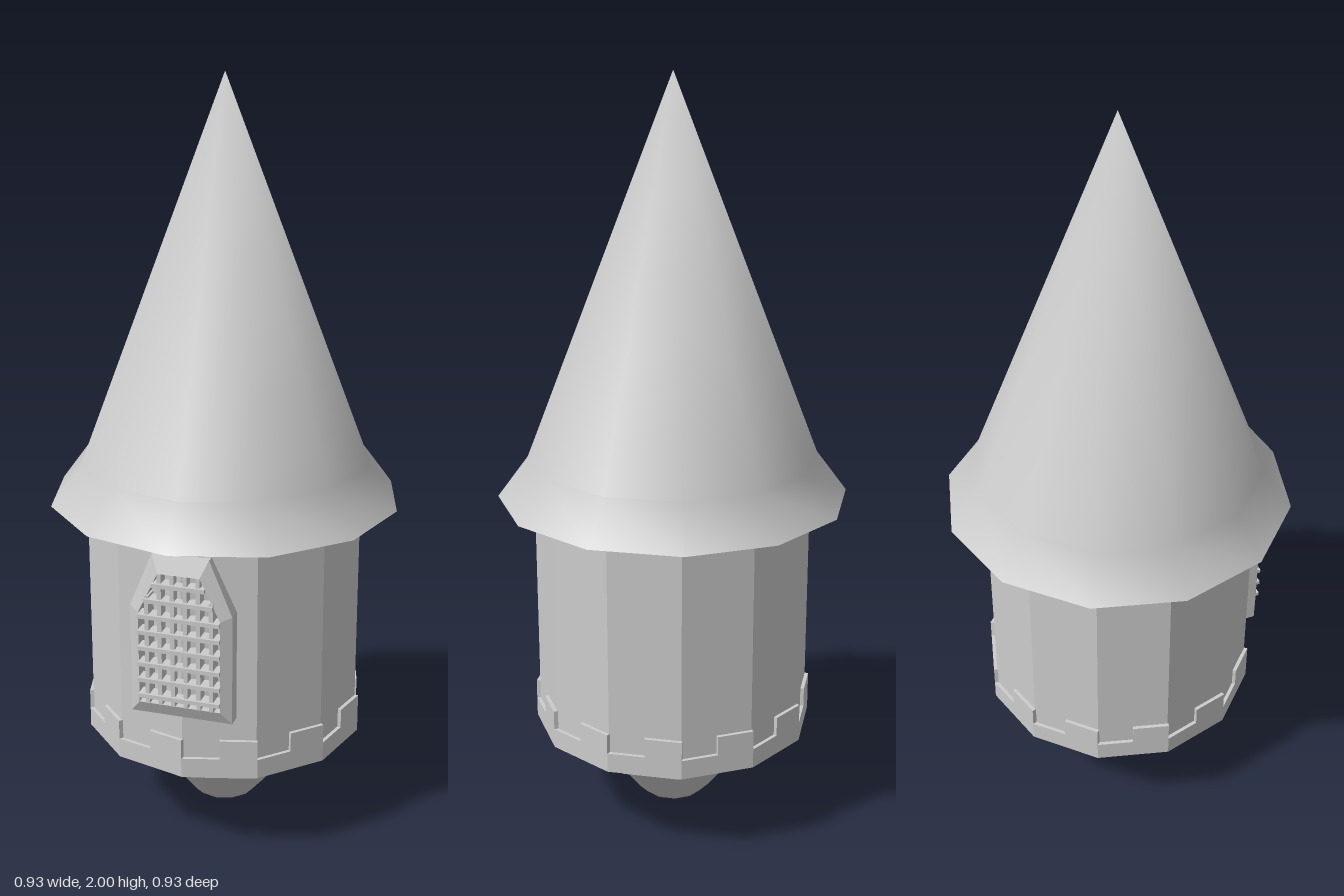
import * as THREE from 'three';
import { mergeVertices } from 'three/addons/utils/BufferGeometryUtils.js';

const SIDES = 12;
const stone = new THREE.MeshStandardMaterial({ color: 0xcccccc });
stone.name = 'stone grey';

function add(parent, name, geometry, x = 0, y = 0, z = 0) {
  const mesh = new THREE.Mesh(geometry, stone);
  mesh.name = name;
  mesh.position.set(x, y, z);
  parent.add(mesh);
  return mesh;
}

// Twelve-sided turned shape; smooth shares all its corners, otherwise faceted
function turned(profile, smooth) {
  let g = new THREE.LatheGeometry(profile.map(([r, y]) => new THREE.Vector2(r, y)), SIDES);
  g.deleteAttribute('normal');
  g.deleteAttribute('uv');
  g = smooth ? mergeVertices(g) : g.toNonIndexed();
  g.computeVertexNormals();
  return g;
}

// Ring with one raised block on half of every side
function battlement(name) {
  const ring = new THREE.Group();
  ring.name = name;
  const r = 0.38, apothem = r * Math.cos(Math.PI / SIDES);
  const half = r * Math.sin(Math.PI / SIDES);
  add(ring, 'ringBand', turned([[0.28, 0.25], [r, 0.25], [r, 0.303], [0.35, 0.303]], false));
  const block = new THREE.BoxGeometry(half, 0.055, 0.025);
  block.translate(half / 2, 0.3275, apothem - 0.0125);
  for (let i = 0; i < SIDES; i++) {
    add(ring, 'merlon', block).rotation.y = (i + 0.5) * Math.PI * 2 / SIDES;
  }
  return ring;
}

// Bevelled frame swept between matching outlines
function frameGeometry() {
  const outline = (w, top, y0, y1, y2, z) => [
    [-w, y0, z], [w, y0, z], [w, y1, z], [top, y2, z], [-top, y2, z], [-w, y1, z]];
  const loops = [
    outline(0.135, 0.075, 0.42, 0.715, 0.86, 0.325),
    outline(0.135, 0.075, 0.42, 0.715, 0.86, 0.372),
    outline(0.108, 0.055, 0.455, 0.705, 0.815, 0.388),
    outline(0.108, 0.055, 0.455, 0.705, 0.815, 0.33),
  ];
  const pos = [];
  for (let s = 0; s < 3; s++) {
    for (let i = 0; i < 6; i++) {
      const j = (i + 1) % 6;
      const a = loops[s][i], b = loops[s][j], c = loops[s + 1][j], d = loops[s + 1][i];
      pos.push(...a, ...b, ...c, ...a, ...c, ...d);
    }
  }
  const g = new THREE.BufferGeometry();
  g.setAttribute('position', new THREE.Float32BufferAttribute(pos, 3));
  g.computeVertexNormals();
  return g;
}

// Barred window on the front wall
function makeWindow() {
  const win = new THREE.Group();
  win.name = 'window';
  add(win, 'windowFrame', frameGeometry());
  for (let i = 0; i < 6; i++) {
    const x = (i - 2.5) * 0.034;
    const top = 0.815 - Math.max(0, Math.abs(x) - 0.055) / 0.053 * 0.11;
    add(win, 'uprightBar', new THREE.BoxGeometry(0.011, top - 0.455, 0.04), x, (top + 0.455) / 2, 0.37);
  }
  for (let i = 0; i < 8; i++) {
    const y = 0.477 + i * 0.044;
    const w = 0.108 - Math.max(0, y - 0.705) / 0.11 * 0.053;
    add(win, 'crossBar', new THREE.BoxGeometry(w * 2, 0.011, 0.04), 0, y, 0.377);
  }
  return win;
}

export function createModel() {
  const model = new THREE.Group();
  model.name = 'turret';

  // Rounded foot and the plate above it
  add(model, 'foot', turned([[0, 0], [0.06, 0.006], [0.085, 0.018], [0.108, 0.042], [0.232, 0.2]], true));
  add(model, 'basePlate', turned([[0, 0.2], [0.295, 0.2], [0.295, 0.255]], false));

  // Wall
  add(model, 'wall', turned([[0.37, 0.25], [0.37, 1.0]], false));
  model.add(makeWindow());

  // Lower battlement, and the same ring hanging upside down under the roof
  model.add(battlement('lowerBattlement'));
  const upper = battlement('upperBattlement');
  upper.rotation.z = Math.PI;
  upper.position.y = 1.24;
  model.add(upper);

  // Flared roof and its underside
  add(model, 'roof', turned([[0.467, 0.9], [0.385, 1.01], [0, 2]], true));
  add(model, 'roofUnderside', turned([[0.35, 1.0], [0.44, 0.9], [0.467, 0.9]], false));

  return model;
}
